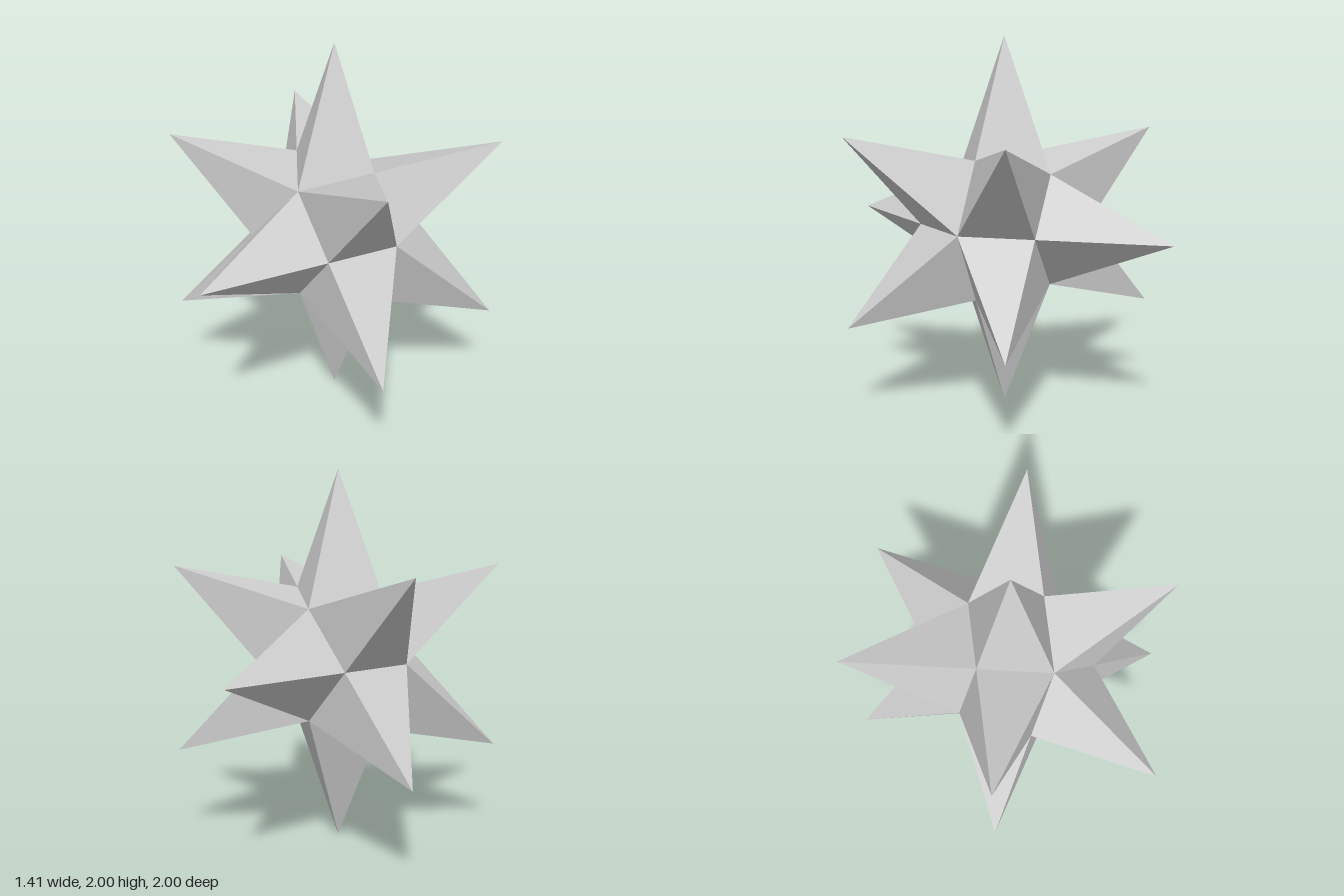
import * as THREE from 'three';

const A = 0.293; // offset of the corners shared by four spikes
const B = 0.261; // offset of the corners shared by three spikes

// One four-sided spike pointing along +z, open at its bent rhombic base
function spikeGeometry() {
  const tip = [0, 0, 1];
  const base = [
    [B, 0, B * Math.SQRT2],
    [0, A, A],
    [-B, 0, B * Math.SQRT2],
    [0, -A, A],
  ];
  const positions = [];
  base.forEach((corner, i) => positions.push(...tip, ...corner, ...base[(i + 1) % 4]));
  const geometry = new THREE.BufferGeometry();
  geometry.setAttribute('position', new THREE.Float32BufferAttribute(positions, 3));
  geometry.computeVertexNormals();
  return geometry;
}

export function createModel() {
  const model = new THREE.Group();
  model.name = 'stellatedSolid';

  const grey = new THREE.MeshStandardMaterial({ color: 0xcccccc, flatShading: true });
  grey.name = 'light grey';
  const geometry = spikeGeometry();

  // Twelve spikes, four in each coordinate plane
  const star = new THREE.Group();
  star.name = 'star';
  for (let axis = 0; axis < 3; axis++) {
    for (const s of [1, -1]) {
      for (const t of [1, -1]) {
        const across = new THREE.Vector3().setComponent(axis, 1);
        const out = new THREE.Vector3()
          .setComponent((axis + 1) % 3, s)
          .setComponent((axis + 2) % 3, t)
          .normalize();
        const along = new THREE.Vector3().crossVectors(out, across);
        const spike = new THREE.Mesh(geometry, grey);
        spike.name = 'spike';
        spike.quaternion.setFromRotationMatrix(new THREE.Matrix4().makeBasis(across, along, out));
        star.add(spike);
      }
    }
  }

  // Stand the star on one tip
  star.rotation.x = Math.PI / 4;
  star.position.y = 1;
  model.add(star);
  return model;
}
